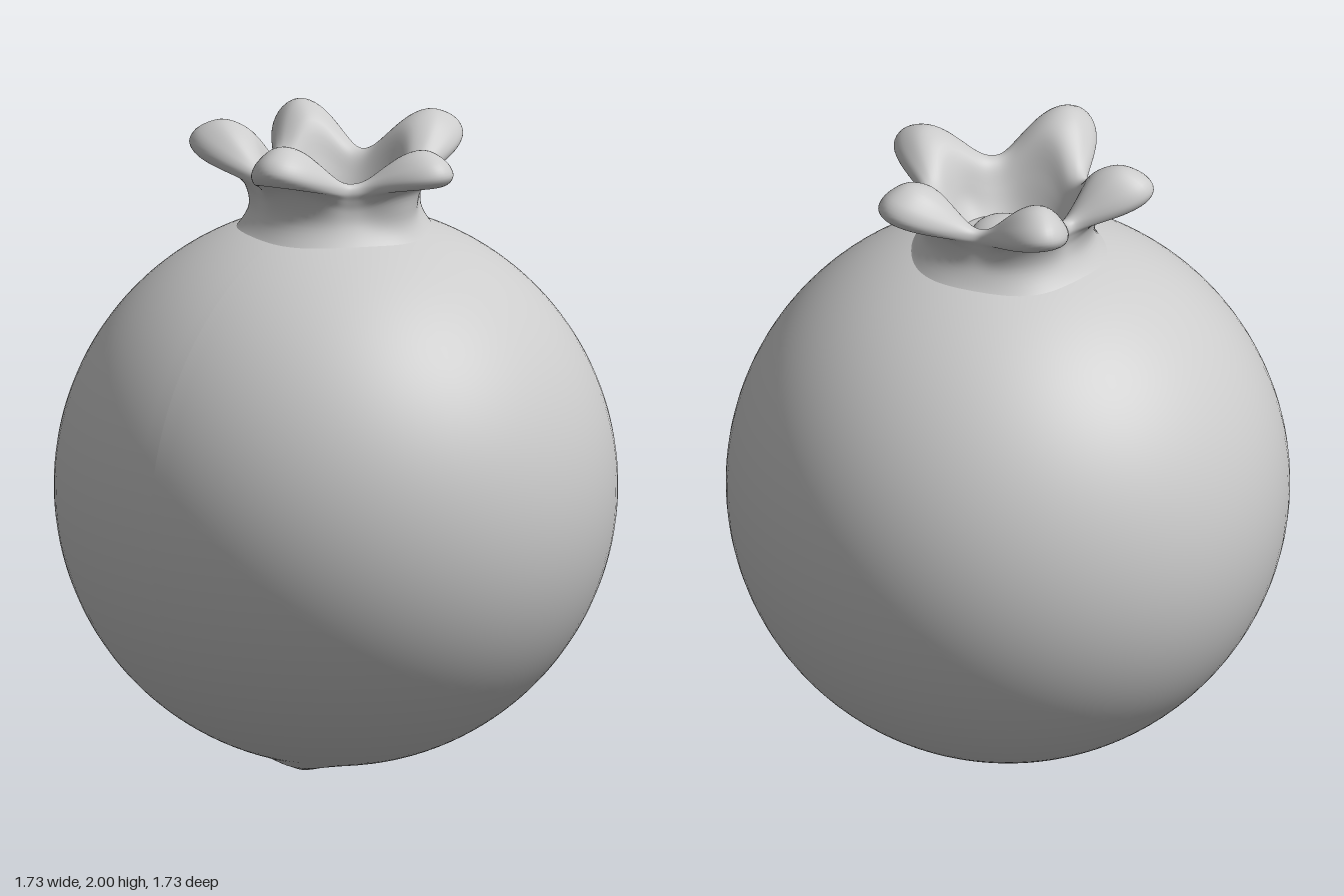
import * as THREE from 'three';

const material = new THREE.MeshStandardMaterial({ color: 0xcccccc });
const R = 0.863, CY = 0.869;

// Outline of the crown wall (radius, height): up the outside, over the lip, down the inside
const curve = (pts) => new THREE.SplineCurve(pts.map(([r, y]) => new THREE.Vector2(r, y))).getPoints(60);
const petalLine = curve([
  [0.37, 1.62], [0.31, 1.67], [0.267, 1.75], [0.295, 1.84], [0.36, 1.885], [0.425, 1.89],
  [0.455, 1.93], [0.425, 1.975], [0.345, 2.0], [0.255, 1.955], [0.2, 1.84], [0.16, 1.75], [0.13, 1.69],
]);
const valleyLine = curve([
  [0.35, 1.63], [0.295, 1.68], [0.262, 1.735], [0.255, 1.78], [0.262, 1.815], [0.27, 1.84],
  [0.265, 1.86], [0.25, 1.868], [0.23, 1.862], [0.21, 1.84], [0.185, 1.79], [0.16, 1.74], [0.13, 1.69],
]);

// Petal directions in degrees from the front, with the first repeated to close the ring
const petals = [0, 76, 149, 211, 284, 360];

// 1 on the axis of a petal, 0 midway between two
function petalWeight(deg) {
  let k = 0;
  while (k < 4 && deg >= petals[k + 1]) k++;
  const f = (deg - petals[k]) / (petals[k + 1] - petals[k]);
  const w = (1 + Math.cos(f * Math.PI * 2)) / 2;
  const nearFront = Math.min(deg, 360 - deg) < 38;
  return nearFront ? Math.pow(w, 1.35) : w;
}

function crownGeometry() {
  const around = 200, rows = petalLine.length;
  const position = [], index = [];
  for (let i = 0; i < around; i++) {
    const deg = (i / around) * 360, a = THREE.MathUtils.degToRad(deg);
    const w = petalWeight(deg);
    const front = Math.max(0, Math.cos(a)) ** 4 * w;
    for (let j = 0; j < rows; j++) {
      const p = valleyLine[j].clone().lerp(petalLine[j], w);
      // the front petal sits a little lower and stands further out at the neck
      p.y -= 0.03 * front * THREE.MathUtils.smoothstep(p.y, 1.75, 1.95);
      p.x += 0.02 * front * Math.exp(-(((p.y - 1.77) / 0.06) ** 2));
      position.push(p.x * Math.sin(a), p.y, p.x * Math.cos(a));
      if (j < rows - 1) {
        const A = i * rows + j, B = ((i + 1) % around) * rows + j;
        index.push(A, B, B + 1, A, B + 1, A + 1);
      }
    }
  }
  const g = new THREE.BufferGeometry();
  g.setAttribute('position', new THREE.Float32BufferAttribute(position, 3));
  g.setIndex(index);
  g.computeVertexNormals();
  return g;
}

// Round fruit with two slight ridges under the base
function bodyGeometry() {
  const g = new THREE.SphereGeometry(R, 96, 80);
  const p = g.attributes.position;
  for (let i = 0; i < p.count; i++) {
    const x = p.getX(i), y = p.getY(i), z = p.getZ(i);
    if (y > -0.7) continue;
    const ridge = Math.exp(-(((Math.abs(x) - 0.175) / 0.04) ** 2) - (z / 0.09) ** 2);
    p.setY(i, y - 0.022 * ridge + 0.01 * Math.exp(-(x * x + z * z) / 0.01));
  }
  g.computeVertexNormals();
  return g.translate(0, CY, 0);
}

export function createModel() {
  const group = new THREE.Group();
  const add = (name, geometry, mat = material) => {
    const mesh = new THREE.Mesh(geometry, mat);
    mesh.name = name;
    group.add(mesh);
    return mesh;
  };
  add('fruitBody', bodyGeometry());

  const crownMaterial = material.clone();
  crownMaterial.side = THREE.DoubleSide;
  add('crown', crownGeometry(), crownMaterial);

  // Small dome on the floor of the crown
  const dome = add('crownCentre', new THREE.SphereGeometry(0.1, 32, 20));
  dome.scale.y = 0.6;
  dome.position.set(0, 1.715, 0.02);
  return group;
}
